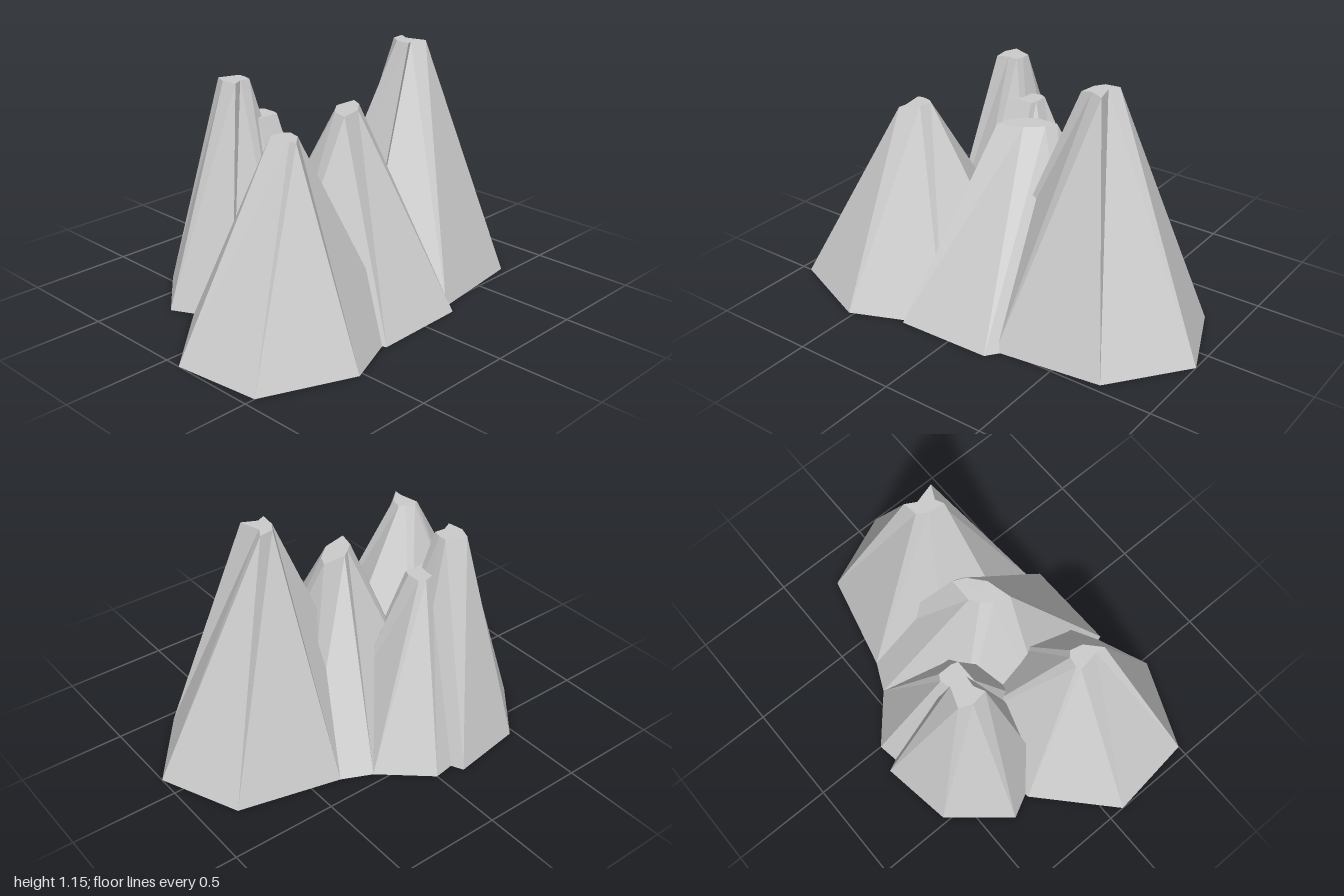
import * as THREE from 'three';

const material = new THREE.MeshStandardMaterial({ color: 0xcccccc, flatShading: true });

// One faceted peak: a base ring joined to a small jagged summit ring, both capped.
// Ring corners are [x, z], running from +x towards +z.
function peak(name, height, base, summit) {
  const n = base.length;
  const pos = [];
  const middle = ring => [0, 1].map(k => ring.reduce((s, p) => s + p[k], 0) / n);
  const add = (p, y) => pos.push(p[0], y, p[1]);
  const low = middle(base), high = middle(summit);
  for (let i = 0; i < n; i++) {
    const j = (i + 1) % n;
    add(base[i], 0); add(summit[i], height); add(base[j], 0);
    add(base[j], 0); add(summit[i], height); add(summit[j], height);
    add(high, height); add(summit[j], height); add(summit[i], height);
    add(low, 0); add(base[i], 0); add(base[j], 0);
  }
  const geo = new THREE.BufferGeometry();
  geo.setAttribute('position', new THREE.Float32BufferAttribute(pos, 3));
  geo.computeVertexNormals();
  const mesh = new THREE.Mesh(geo, material);
  mesh.name = name;
  return mesh;
}

export function createModel() {
  const group = new THREE.Group();
  group.name = 'rockCluster';

  // Tallest peak, on the left
  group.add(peak('tallPeak', 1.15,
    [[1, 0.11], [0.73, 0.46], [0.22, 0.525], [-0.07, 0.25], [-0.02, -0.2], [0.36, -0.385], [0.84, -0.27]],
    [[0.46, 0.035], [0.488, 0.133], [0.42, 0.1], [0.38, 0.12], [0.39, 0.04], [0.42, -0.005], [0.488, -0.015]]));

  // Broad peak, on the right
  group.add(peak('broadPeak', 0.915,
    [[0.1, 0.1], [-0.1, 0.5], [-0.525, 0.675], [-0.95, 0.5], [-1, 0.08], [-0.66, -0.24], [-0.15, -0.28]],
    [[-0.415, 0.16], [-0.43, 0.22], [-0.5, 0.285], [-0.495, 0.24], [-0.512, 0.14], [-0.49, 0.13], [-0.44, 0.14]]));

  // Middle peak, at the front
  group.add(peak('middlePeak', 0.895,
    [[0.45, 0.25], [0.2, 0.58], [-0.265, 0.59], [-0.45, 0.08], [-0.25, -0.35], [0.22, -0.45], [0.5, -0.32]],
    [[0.14, 0.035], [0.065, 0.1], [-0.055, 0.13], [-0.035, 0.05], [0.01, 0.01], [0.05, -0.02], [0.165, -0.02]]));

  // Slim peak, at the back
  group.add(peak('slimPeak', 1.03,
    [[-0.01, -0.1], [-0.33, 0.02], [-0.56, -0.08], [-0.7, -0.355], [-0.475, -0.625], [-0.125, -0.68], [0, -0.42]],
    [[-0.25, -0.28], [-0.3, -0.285], [-0.35, -0.26], [-0.36, -0.335], [-0.335, -0.395], [-0.24, -0.36], [-0.24, -0.32]]));

  // Short peak, beside the slim one
  group.add(peak('shortPeak', 0.85,
    [[0.17, -0.08], [-0.08, 0.1], [-0.3, 0.1], [-0.45, -0.25], [-0.25, -0.6], [0, -0.64], [0.22, -0.45]],
    [[-0.12, -0.26], [-0.13, -0.23], [-0.24, -0.23], [-0.24, -0.29], [-0.2, -0.33], [-0.15, -0.345], [-0.12, -0.33]]));

  return group;
}
